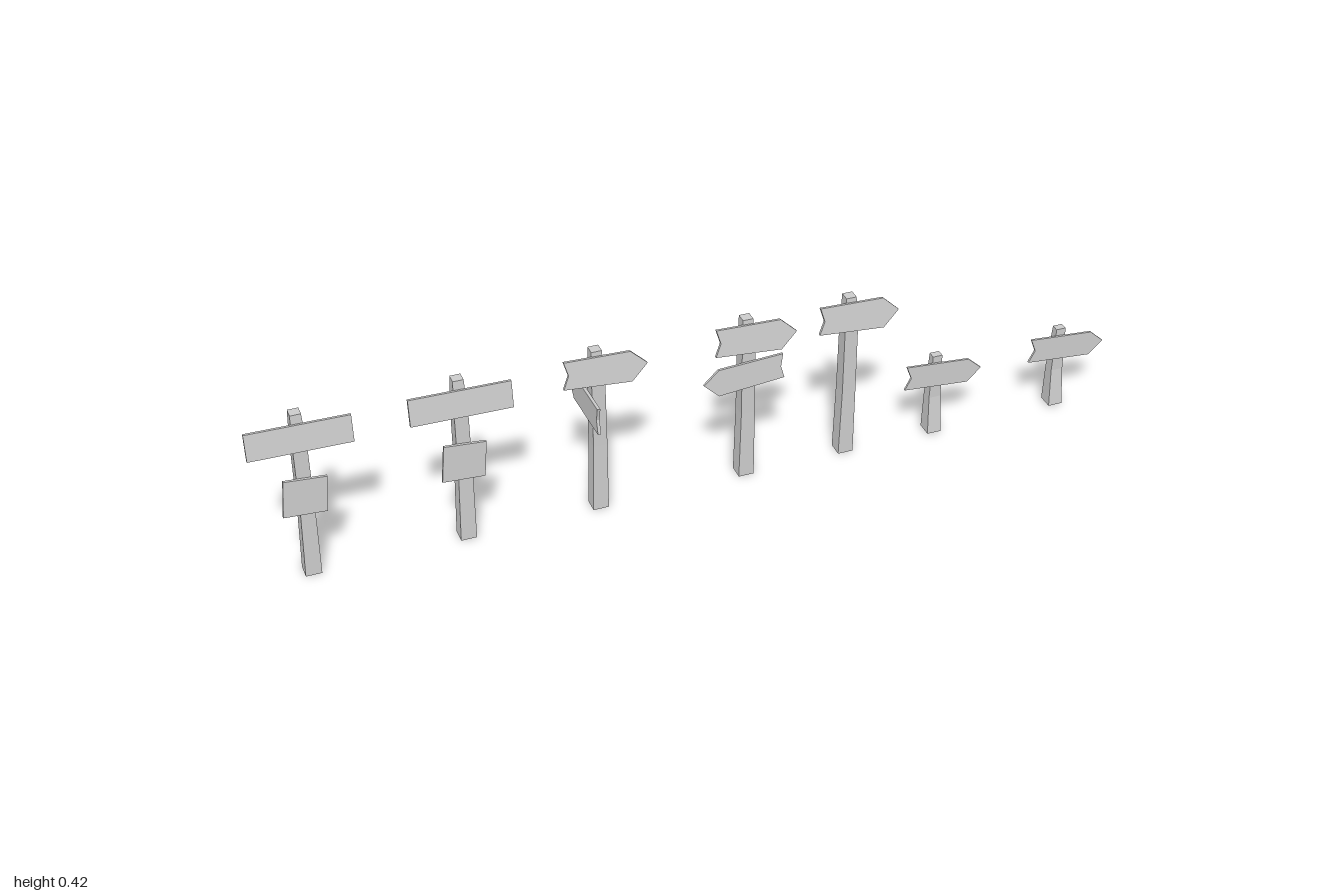
import * as THREE from 'three';

const material = new THREE.MeshStandardMaterial({ color: 0xcccccc, flatShading: true });

// Square timber lofted through stations [y, xMin, xMax, zMin, zMax]
function makePost(stations) {
  const pos = [], idx = [];
  for (const [y, x0, x1, z0, z1] of stations) {
    pos.push(x0, y, z1, x1, y, z1, x1, y, z0, x0, y, z0);
  }
  for (let s = 0; s < stations.length - 1; s++) {
    for (let i = 0; i < 4; i++) {
      const a = s * 4 + i, b = s * 4 + (i + 1) % 4;
      idx.push(a, b, b + 4, a, b + 4, a + 4);
    }
  }
  const t = (stations.length - 1) * 4;
  idx.push(t, t + 1, t + 2, t, t + 2, t + 3, 0, 2, 1, 0, 3, 2);
  const geo = new THREE.BufferGeometry();
  geo.setAttribute('position', new THREE.Float32BufferAttribute(pos, 3));
  geo.setIndex(idx);
  const flat = geo.toNonIndexed();
  flat.computeVertexNormals();
  return flat;
}

// Flat plank cut to an outline, centred on its thickness
function makeBoard(points, thickness) {
  const shape = new THREE.Shape(points.map(([x, y]) => new THREE.Vector2(x, y)));
  const geo = new THREE.ExtrudeGeometry(shape, { depth: thickness, bevelEnabled: false });
  return geo.translate(0, 0, -thickness / 2);
}

const tallPost = makePost([
  [0, -0.019, 0.017, 0.002, 0.038],
  [0.17, -0.014, 0.018, 0.001, 0.036],
  [0.33, -0.015, 0.016, 0.007, 0.039],
  [0.416, -0.012, 0.012, 0.009, 0.033],
]);
const shortPost = makePost([
  [0.006, -0.017, 0.017, 0.011, 0.048],
  [0.1, -0.014, 0.015, 0.011, 0.038],
  [0.213, -0.011, 0.012, 0.021, 0.039],
]);

// Outlines relative to the post axis, y relative to the board centre
const plank = makeBoard([[-0.112, -0.031], [0.113, -0.035], [0.113, 0.028], [-0.112, 0.032]], 0.007);
const plaque = makeBoard([[-0.052, -0.042], [0.043, -0.048], [0.05, 0.041], [-0.044, 0.049]], 0.006);
const arrow = makeBoard([[-0.08, -0.026], [0.074, -0.039], [0.111, -0.002],
  [0.074, 0.033], [-0.076, 0.038], [-0.067, 0.005]], 0.007);
const backArrow = makeBoard([[-0.107, 0], [-0.072, -0.034], [0.083, -0.021],
  [0.075, 0.008], [0.08, 0.04], [-0.072, 0.032]], 0.006);
const sideArrow = makeBoard([[-0.097, -0.027], [0.068, -0.038], [0.096, -0.005],
  [0.073, 0.027], [-0.096, 0.039], [-0.088, 0.006]], 0.007);
const smallArrow = makeBoard([[-0.081, -0.024], [0.077, -0.038], [0.11, -0.006],
  [0.077, 0.024], [-0.078, 0.037], [-0.066, 0.005]], 0.005);

// Placement of each board on its post: geometry, position, rotation
const boards = {
  topPlank: [plank, [0, 0.365, 0.041], [-0.14, 0, 0]],
  lowerPlaque: [plaque, [0, 0.214, 0.042], [0, 0, 0]],
  topArrow: [arrow, [0, 0.37, 0.041], [-0.14, 0, 0]],
  lowerArrow: [backArrow, [0, 0.275, 0.043], [-0.05, 0, 0]],
  sideArrow: [sideArrow, [-0.019, 0.273, 0], [0, Math.PI / 2, 0.0]],
  shortArrow: [smallArrow, [0, 0.166, 0.0425], [0, 0, 0]],
};

const signs = [
  ['wideSignpost', -0.888, tallPost, ['topPlank', 'lowerPlaque']],
  ['wideSignpostCopy', -0.543, tallPost, ['topPlank', 'lowerPlaque']],
  ['crossSignpost', -0.238, tallPost, ['topArrow', 'sideArrow']],
  ['doubleSignpost', 0.109, tallPost, ['topArrow', 'lowerArrow']],
  ['singleSignpost', 0.354, tallPost, ['topArrow']],
  ['shortSignpost', 0.573, shortPost, ['shortArrow']],
  ['shortSignpostCopy', 0.888, shortPost, ['shortArrow']],
];

export function createModel() {
  const model = new THREE.Group();
  model.name = 'signposts';
  for (const [name, x, postGeo, names] of signs) {
    const sign = new THREE.Group();
    sign.name = name;
    sign.position.x = x;
    const post = new THREE.Mesh(postGeo, material);
    post.name = 'post';
    sign.add(post);
    for (const boardName of names) {
      const [geo, position, rotation] = boards[boardName];
      const board = new THREE.Mesh(geo, material);
      board.name = boardName;
      board.position.set(...position);
      board.rotation.set(...rotation);
      sign.add(board);
    }
    model.add(sign);
  }
  return model;
}
